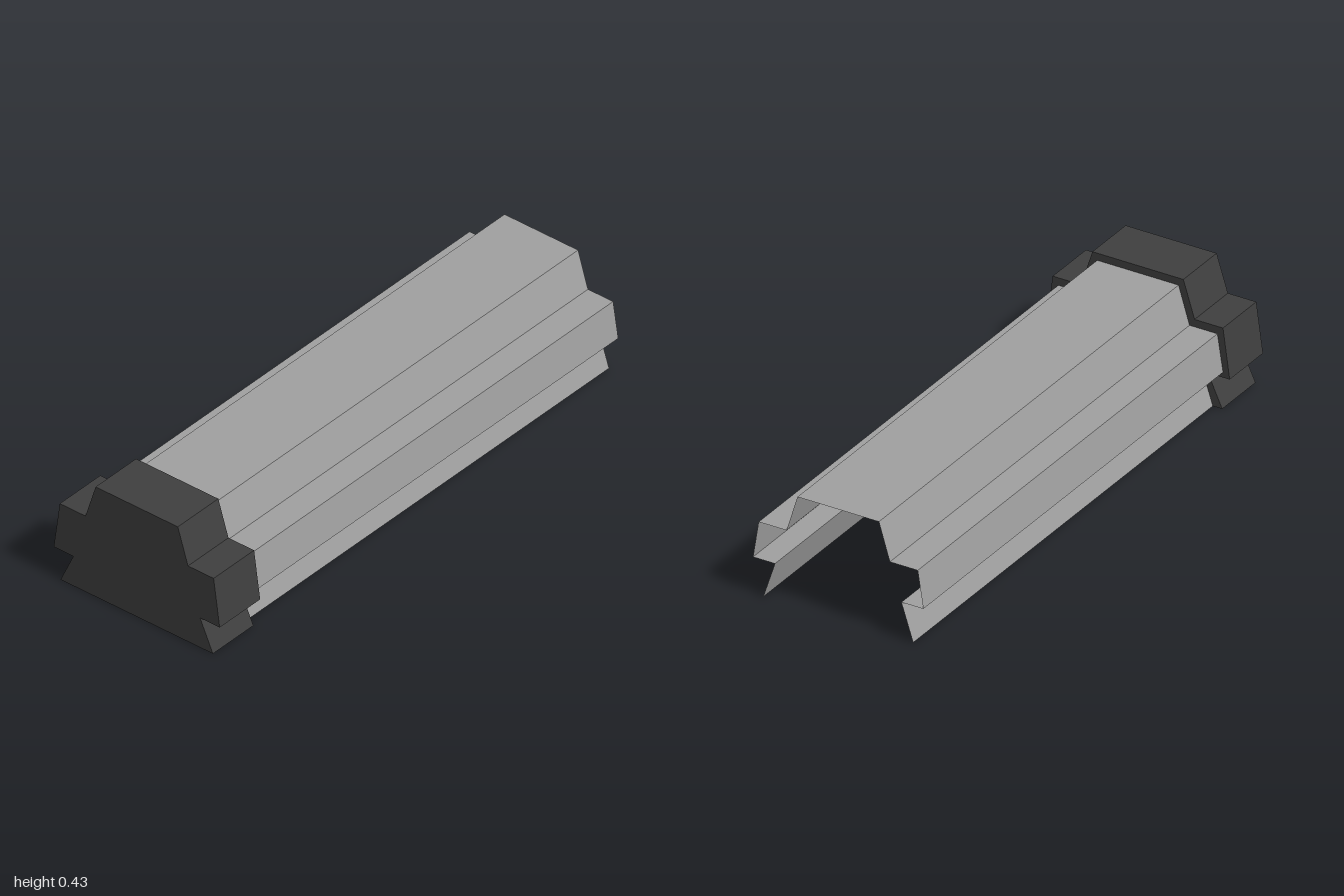
import * as THREE from 'three';

// Half profiles as [z, y], from the bottom edge up to the roof
const BODY = [[0.28, 0], [0.236, 0.134], [0.318, 0.134], [0.297, 0.268], [0.193, 0.268], [0.152, 0.402]];
const CAP = [[0.315, 0], [0.262, 0.115], [0.343, 0.115], [0.318, 0.295], [0.212, 0.295], [0.17, 0.428]];

const mirrored = (half) => [...half, ...half.map(([z, y]) => [-z, y]).reverse()];

// Flat-shaded strip joining profile a at x = xa to profile b at x = xb
function strip(a, xa, b, xb) {
  const pos = [];
  const put = (x, [z, y]) => pos.push(x, y, z);
  for (let i = 0; i < a.length - 1; i++) {
    put(xa, a[i]); put(xb, b[i]); put(xb, b[i + 1]);
    put(xa, a[i]); put(xb, b[i + 1]); put(xa, a[i + 1]);
  }
  const geo = new THREE.BufferGeometry();
  geo.setAttribute('position', new THREE.Float32BufferAttribute(pos, 3));
  geo.computeVertexNormals();
  return geo;
}

export function createModel() {
  const group = new THREE.Group();
  group.name = 'cappedChannel';

  const grey = new THREE.MeshStandardMaterial({ color: 0xa0a0a0, side: THREE.DoubleSide });
  grey.name = 'mid grey';
  const dark = new THREE.MeshStandardMaterial({ color: 0x3f3f3f, side: THREE.DoubleSide });
  dark.name = 'dark grey';

  const add = (name, geo, mat) => {
    const mesh = new THREE.Mesh(geo, mat);
    mesh.name = name;
    group.add(mesh);
  };

  const body = mirrored(BODY);
  const cap = mirrored(CAP);

  // Long open channel
  add('channel', strip(body, -0.8, body, 1), grey);

  // Hollow end cap: sleeve, step down to the channel, closed end plate
  add('capSleeve', strip(cap, -1, cap, -0.8), dark);
  add('capStep', strip(cap, -0.8, body, -0.8), dark);
  const plate = new THREE.ShapeGeometry(new THREE.Shape(cap.map(([z, y]) => new THREE.Vector2(z, y))));
  plate.rotateY(-Math.PI / 2).translate(-1, 0, 0);
  add('capEndPlate', plate, dark);

  return group;
}
